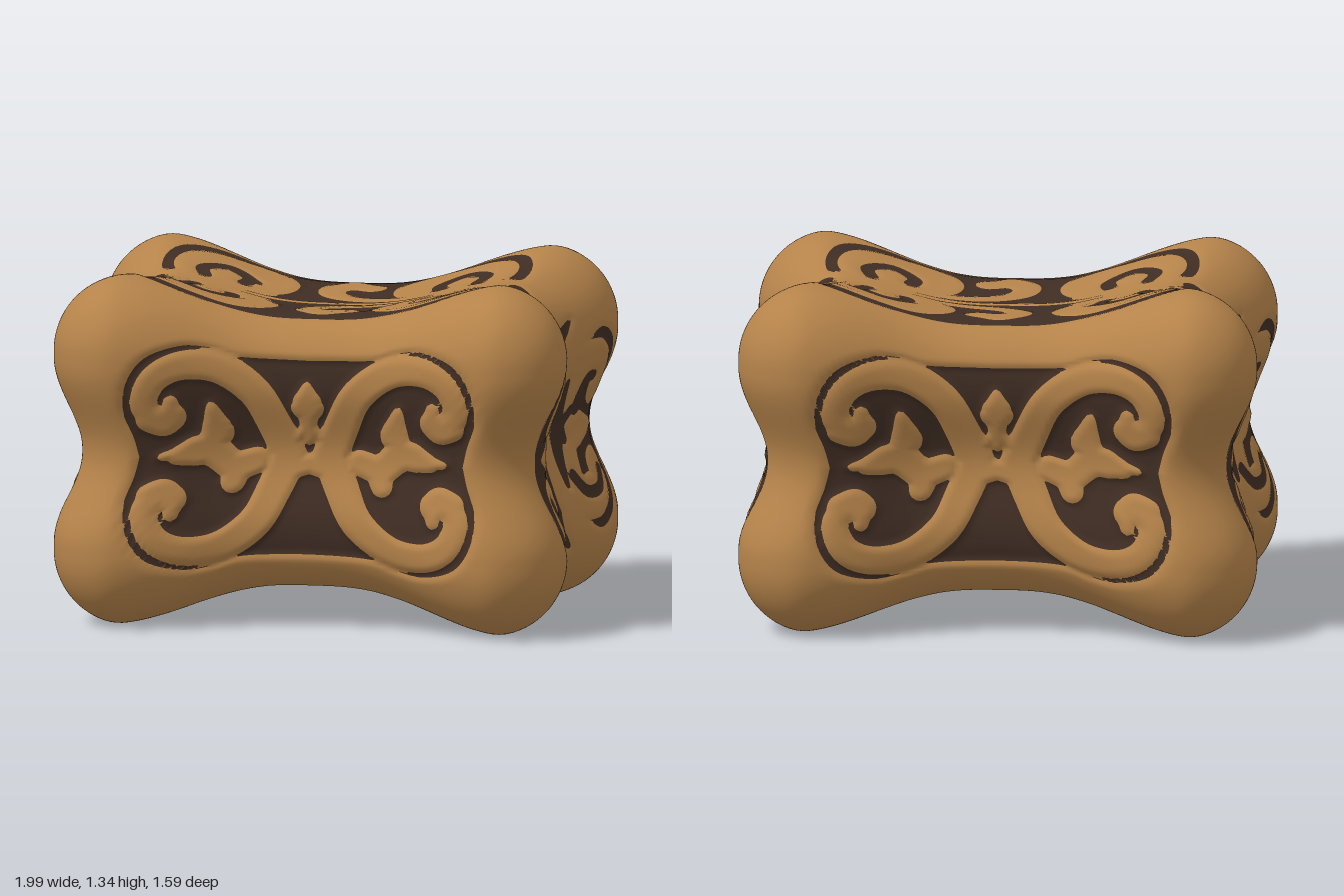
import * as THREE from 'three';
import { mergeVertices } from 'three/addons/utils/BufferGeometryUtils.js';

const H = [1, 0.675, 0.8];          // half sizes at the bulging corners
const R = 0.29;                     // corner rounding
const N = 98;                       // grid cells per face side

// Smooth rise from the middle of a side to its swollen end
const SAT = [0.8, 0.54, 0.64], POWER = [1.5, 1, 1];
const rise = (p, k) => (0.5 - 0.5 * Math.cos(Math.PI * Math.min(1, Math.abs(p[k]) / H[k] / SAT[k]))) ** POWER[k];

// Half size along each axis: centre, one rim, other rim, corner
const half = (c, e1, e2, k, a, b) => c + (e1 - c) * a + (e2 - c) * b + (k - e1 - e2 + c) * a * b;

// Rounded block pinched at the middle of every side
function surface(q) {
  const core = q.map((v, k) => Math.max(R - H[k], Math.min(H[k] - R, v)));
  const d = q.map((v, k) => v - core[k]);
  const len = Math.hypot(...d) || 1;
  const p = core.map((v, k) => v + d[k] / len * R);
  const a = rise(p, 0), b = rise(p, 1), c = rise(p, 2);
  return [
    p[0] / H[0] * half(0.81, 0.86, 0.9, 0.995, b, c),
    p[1] / H[1] * half(0.51, 0.605, 0.53, 0.675, a, c),
    p[2] / H[2] * half(0.53, 0.72, 0.595, 0.8, a, b),
  ];
}

const spline = (pts, n) => new THREE.SplineCurve(pts.map(p => new THREE.Vector2(...p))).getPoints(n);

// Tapered stroke; fold tells which coordinates are mirrored
const stroke = (pts, r0, r1, fold = 'xy') => ({ pts: spline(pts, pts.length * 4), r0, r1, fold });

function segment(x, y, a, b) {
  const dx = b.x - a.x, dy = b.y - a.y;
  const t = Math.max(0, Math.min(1, ((x - a.x) * dx + (y - a.y) * dy) / (dx * dx + dy * dy + 1e-12)));
  return [Math.hypot(x - a.x - t * dx, y - a.y - t * dy), t];
}

function strokeDistance(s, u, v) {
  const x = s.fold.includes('x') ? Math.abs(u) : u;
  const y = s.fold.includes('y') ? Math.abs(v) : v;
  let best = 9;
  const n = s.pts.length - 1;
  for (let i = 0; i < n; i++) {
    const [d, t] = segment(x, y, s.pts[i], s.pts[i + 1]);
    best = Math.min(best, d - s.r0 - (s.r1 - s.r0) * (i + t) / n);
  }
  return best;
}

// Positive inside the mirrored panel outline
function panelDepth(poly, u, v) {
  const x = Math.abs(u), y = Math.abs(v);
  let best = 9, inside = false;
  for (let i = 0, j = poly.length - 1; i < poly.length; j = i++) {
    const a = poly[i], b = poly[j];
    best = Math.min(best, segment(x, y, a, b)[0]);
    if ((a.y > y) !== (b.y > y) && x < (b.x - a.x) * (y - a.y) / (b.y - a.y) + a.x) inside = !inside;
  }
  return inside ? best : -best;
}

// Quarter outline closed well beyond the mirror axes
function outline(pts) {
  const c = spline(pts, 44), first = c[0], last = c[c.length - 1];
  return [new THREE.Vector2(-1, -1), new THREE.Vector2(-1, first.y), ...c, new THREE.Vector2(last.x, -1)];
}

// Carved patterns: panel outline, raised strokes, sunken marks, carving depth
const frontPattern = {
  depth: 0.022,
  panel: outline([[0, 0.375], [0.25, 0.385], [0.36, 0.42], [0.47, 0.435], [0.6, 0.395], [0.67, 0.3], [0.685, 0.18], [0.65, 0.08], [0.63, 0]]),
  raised: [
    stroke([[0.08, 0], [0.13, 0.12], [0.2, 0.25], [0.33, 0.345], [0.47, 0.36], [0.57, 0.31], [0.61, 0.21], [0.57, 0.14]], 0.07, 0.045),
    stroke([[0.59, 0.15], [0.54, 0.135], [0.51, 0.16]], 0.05, 0.055),
    stroke([[0.51, 0.16], [0.51, 0.22]], 0.045, 0.025),
    // leaf with an upper spike, an outward tip and a lower knob
    stroke([[0.365, 0.2], [0.345, 0.1]], 0.015, 0.06, 'x'),
    stroke([[0.345, 0.09], [0.4, 0.03], [0.55, 0]], 0.06, 0.015, 'x'),
    stroke([[0.42, 0.02], [0.5, 0.0]], 0.06, 0.03, 'x'),
    stroke([[0.37, 0.03], [0.29, -0.05], [0.29, -0.1]], 0.065, 0.045, 'x'),
    stroke([[0.26, -0.04], [0.2, -0.02]], 0.055, 0.05, 'x'),
    // middle bud
    stroke([[0, 0.29], [0, 0.2]], 0.006, 0.065, 'x'),
    stroke([[0, 0.2], [0, 0.06]], 0.05, 0.02, 'x'),
    stroke([[0, 0.14], [0.06, 0.04]], 0.02, 0.02, 'x'),
    stroke([[0, -0.03], [0.1, -0.06]], 0.04, 0.04, 'x'),
  ],
  sunken: [],
};
const sidePattern = {
  depth: 0.01,
  panel: outline([[0, 0.42], [0.09, 0.42], [0.185, 0.445], [0.13, 0.37], [0.17, 0.32], [0.25, 0.33], [0.37, 0.39], [0.48, 0.33], [0.535, 0.2], [0.545, 0.1], [0.54, 0]]),
  raised: [
    stroke([[0.05, 0], [0.085, 0.14], [0.13, 0.25], [0.22, 0.28], [0.34, 0.285], [0.42, 0.22], [0.42, 0.15]], 0.048, 0.07),
    stroke([[0.155, 0.29], [0.34, 0.26]], 0.065, 0.09),
    stroke([[0.15, 0.36], [0.15, 0.3]], 0.03, 0.06),
    stroke([[0.24, 0.22], [0.25, 0.05]], 0.05, 0.05),
    stroke([[0.3, 0], [0.47, 0]], 0.08, 0.008),
  ],
  sunken: [
    stroke([[0.29, 0.09], [0.32, 0.19], [0.37, 0.2]], 0.035, 0.02, 'x'),
    stroke([[0.45, -0.17], [0.4, -0.235], [0.3, -0.24], [0.23, -0.17]], 0.022, 0.026, 'x'),
    stroke([[0.25, 0.08], [0.2, 0.03], [0.22, -0.03]], 0.022, 0.018, 'x'),
  ],
};
const topPattern = {
  depth: 0.008,
  panel: outline([[0, 0.44], [0.3, 0.45], [0.5, 0.47], [0.65, 0.41], [0.715, 0.27], [0.7, 0.13], [0.64, 0.11], [0.5, 0.09], [0.4, 0.04], [0.3, 0.025], [0.15, 0.02], [0, 0.02]]),
  raised: [
    stroke([[0.39, 0.215], [0.465, 0.21]], 0.205, 0.205),
    stroke([[0.27, 0.06], [0.4, 0.05]], 0.03, 0.05),
    stroke([[0.24, 0.06], [0.06, 0.09], [-0.04, 0.16], [-0.05, 0.25], [0.01, 0.315]], 0.03, 0.068, 'y'),
    stroke([[0.01, 0.315], [0.09, 0.275]], 0.06, 0.055, 'y'),
  ],
  sunken: [
    stroke([[0.53, 0.1], [0.55, 0.19], [0.46, 0.265], [0.375, 0.2], [0.38, 0.13]], 0.027, 0.03),
    stroke([[-0.45, -0.26], [-0.34, -0.18]], 0.03, 0.02, ''),
  ],
};

// Sunken hearts at both ends of the top only
const hearts = stroke([[0.71, 0.02], [0.78, 0]], 0.04, 0.008);
const crownPattern = { ...topPattern, sunken: [...topPattern.sunken, hearts] };

// Positive where the surface is sunken
function carve(pattern, u, v) {
  let g = panelDepth(pattern.panel, u, v);
  if (g > -0.1) for (const s of pattern.raised) g = Math.min(g, strokeDistance(s, u, v));
  for (const s of pattern.sunken) g = Math.max(g, -strokeDistance(s, u, v));
  return g;
}

// Cut a triangle along the carving edge and keep the part on one side
function clip(tri, sign, out) {
  const poly = [];
  for (let i = 0; i < 3; i++) {
    const a = tri[i], b = tri[(i + 1) % 3];
    if (a.g * sign >= 0) poly.push(a.p);
    if (a.g * b.g < 0) {
      const [m, n] = a.g < b.g ? [a, b] : [b, a];
      poly.push(m.p.clone().lerp(n.p, m.g / (m.g - n.g)));
    }
  }
  for (let i = 1; i + 1 < poly.length; i++) {
    for (const p of [poly[0], poly[i], poly[i + 1]]) out.push(p.x, p.y, p.z);
  }
}

// One of the six faces: a fine grid, carved, then divided by colour
function addFace(k, sign, light, dark) {
  const i = (k + 1) % 3, j = (k + 2) % 3;
  const spread = t => t * (0.76 + 0.24 * t * t);
  const pattern = [sidePattern, sign > 0 ? crownPattern : topPattern, frontPattern][k];
  const grid = [];
  for (let a = 0; a <= N; a++) for (let b = 0; b <= N; b++) {
    const q = [0, 0, 0];
    q[k] = sign * H[k];
    q[i] = spread(a / N * 2 - 1) * H[i];
    q[j] = spread(b / N * 2 - 1) * H[j];
    const p = surface(q);
    const g = carve(pattern, k === 0 ? p[2] : p[0], k === 1 ? p[2] : p[1]);
    p[k] -= sign * pattern.depth * THREE.MathUtils.smoothstep(g, -0.025, 0.02);
    grid.push({ p: new THREE.Vector3(p[0], p[1] + H[1], p[2]), g: g || 1e-9 });
  }
  for (let a = 0; a < N; a++) for (let b = 0; b < N; b++) {
    const o = a * (N + 1) + b;
    const c = [grid[o], grid[o + N + 1], grid[o + N + 2], grid[o + 1]];
    for (const t of [[c[0], c[1], c[2]], [c[0], c[2], c[3]]]) {
      if (sign < 0) t.reverse();
      clip(t, -1, light);
      clip(t, 1, dark);
    }
  }
}

function toMesh(points, material, name) {
  let geo = new THREE.BufferGeometry();
  geo.setAttribute('position', new THREE.Float32BufferAttribute(points, 3));
  geo = mergeVertices(geo, 1e-4);
  geo.computeVertexNormals();
  const mesh = new THREE.Mesh(geo, material);
  mesh.name = name;
  return mesh;
}

export function createModel() {
  const wood = new THREE.MeshStandardMaterial({ color: 0xb5834a });
  wood.name = 'light wood';
  const recess = new THREE.MeshStandardMaterial({ color: 0x3f2d23 });
  recess.name = 'dark recess';
  const light = [], dark = [];
  for (let k = 0; k < 3; k++) for (const s of [1, -1]) addFace(k, s, light, dark);
  const group = new THREE.Group();
  group.name = 'carvedBlock';
  group.add(toMesh(light, wood, 'blockAndScrolls'), toMesh(dark, recess, 'sunkenPanels'));
  return group;
}
